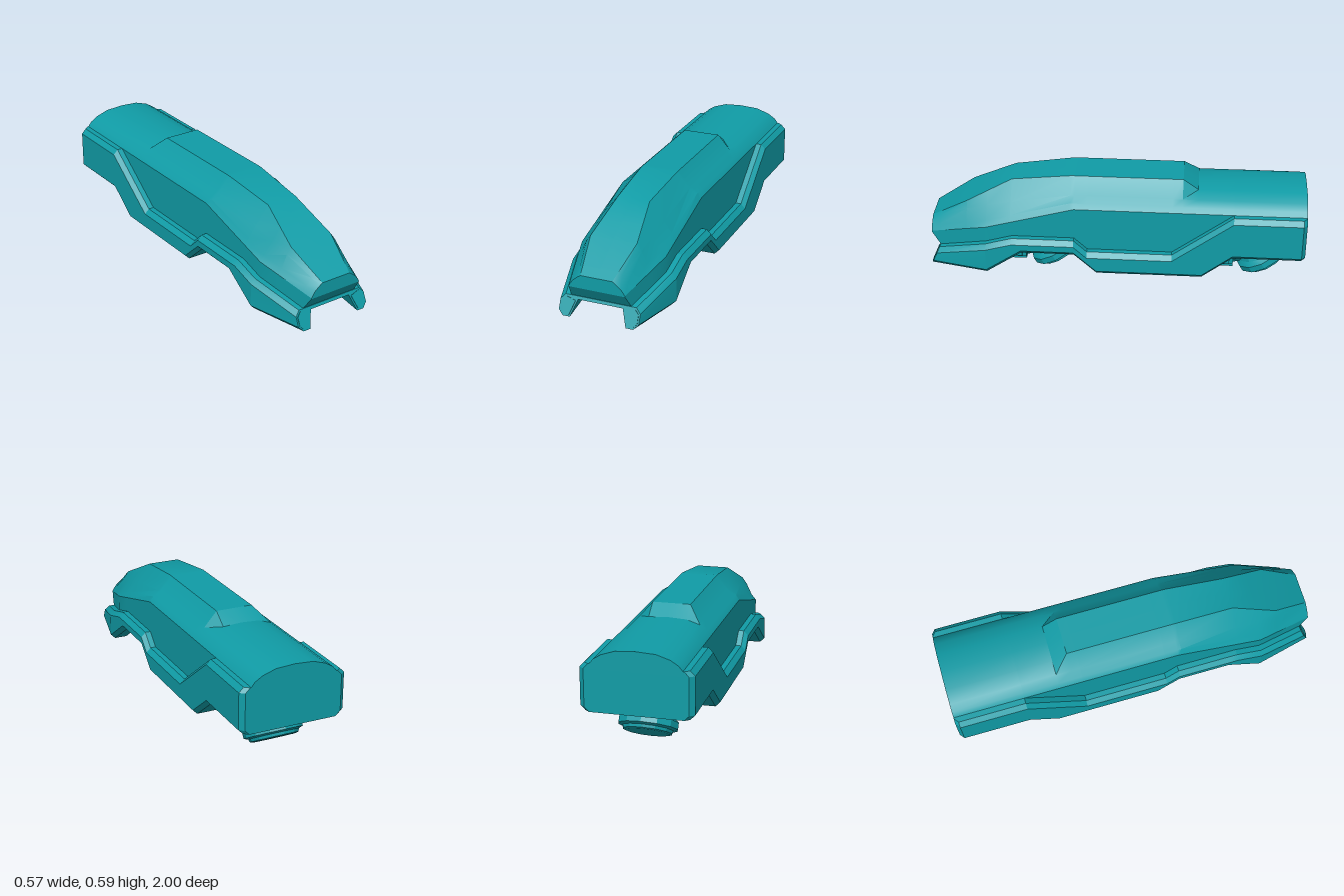
import * as THREE from 'three';
import { toCreasedNormals } from 'three/addons/utils/BufferGeometryUtils.js';

const teal = new THREE.MeshStandardMaterial({ color: 0x109ca6 });
teal.name = 'teal paint';

// piecewise linear lookup; keys run from front (+z) to back (-z)
function at(table, z) {
  if (z >= table[0][0]) return table[0][1];
  for (let i = 1; i < table.length; i++) {
    const [z0, a] = table[i - 1], [z1, b] = table[i];
    if (z >= z1) return a + (b - a) * (z0 - z) / (z0 - z1);
  }
  return table[table.length - 1][1];
}

// closed loft through mirrored half sections, [x, y, z] from top centre to bottom centre
function loft(halves, crease) {
  const rings = halves.map(h => [...h, ...h.slice().reverse().map(([x, y, z]) => [-x, y, z])]);
  const n = rings[0].length, pos = rings.flat(2), idx = [];
  for (let i = 0; i < rings.length - 1; i++) {
    for (let j = 0; j < n; j++) {
      const a = i * n + j, b = i * n + (j + 1) % n;
      idx.push(a, b, a + n, b, b + n, a + n);
    }
  }
  for (const [r, sign] of [[0, 1], [rings.length - 1, -1]]) {
    const p = rings[r].map(([x, y]) => new THREE.Vector2(x, y));
    for (const [a, b, c] of THREE.ShapeUtils.triangulateShape(p, [])) {
      const area = THREE.ShapeUtils.area([p[a], p[b], p[c]]) * sign;
      idx.push(r * n + a, r * n + (area > 0 ? b : c), r * n + (area > 0 ? c : b));
    }
  }
  const g = new THREE.BufferGeometry();
  g.setAttribute('position', new THREE.Float32BufferAttribute(pos, 3));
  g.setIndex(idx);
  return toCreasedNormals(g, crease);
}

function add(parent, name, geometry, x = 0, y = 0, z = 0) {
  const m = new THREE.Mesh(geometry, teal);
  m.name = name;
  m.position.set(x, y, z);
  parent.add(m);
  return m;
}

// upper shell with raised canopy ridge and tapered nose
function hull() {
  const ridgeX = [[1, .085], [.8, .125], [.56, .087], [.24, .1]];
  const ridgeY = [[1, .315], [.8, .435], [.56, .555], [.24, .595], [-.35, .595], [-.43, .538]];
  const flankX = [[1, .1], [.8, .15], [.56, .165], [.24, .17]];
  const flankY = [[1, .305], [.8, .4], [.56, .46], [.24, .515]];
  const midX = [[1, .13], [.69, .205], [.24, .21]];
  const midY = [[1, .28], [.24, .49]];
  const sideX = [[1, .15], [.69, .23]];
  const sideY = [[1, .25], [.22, .465]];
  const lowY = [[1, .245], [.95, .17], [.55, .25], [.22, .25], [.15, .2], [-.3, .2], [-.62, .44]];
  const stations = [1, .95, .8, .69, .56, .24, .22, .15, -.3, -.35, -.43, -.62, -1];
  return loft(stations.map(z => {
    const top = at(ridgeY, z), low = at(lowY, z), x = at(sideX, z);
    return [
      [0, top + (z < -.4 ? .006 : 0), z], [at(ridgeX, z), top, z],
      [at(flankX, z), at(flankY, z), z], [at(midX, z), at(midY, z), z],
      [x, at(sideY, z), z], [x, low, z], [0, low, z],
    ];
  }), .4);
}

// stepped lower armour, ending in two prongs at the front
function chassis() {
  const topY = [[1, .175], [.955, .175], [.55, .29], [.22, .29], [.15, .225], [-.3, .225], [-.62, .465]];
  const botY = [[.69, .077], [.5, .205], [.22, .205], [.1, .095], [-.46, .095], [-.62, .22]];
  const bellyY = [[1, .16], [.5, .205]];
  const outX = [[1, .215], [.69, .285], [-.98, .285], [-1, .26]];
  const inX = [[1, .15], [.69, .19], [.5, .19]];
  const c = .025;
  const stations = [1, .69, .55, .5, .22, .15, .1, -.3, -.46, -.62, -.98, -1];
  return loft(stations.map(z => {
    const x = at(outX, z), xi = at(inX, z), t = at(topY, z), b = at(botY, z);
    const belly = z >= .5 ? at(bellyY, z) : b;
    const p = [[0, t], [x - c, t], [x, t - c], [x, b + c], [x - c, b], [xi, b], [xi - .03, belly], [0, belly]];
    // rake the front faces back towards the top
    return p.map(([px, py]) => [px, py, z === 1 ? 1 - .45 * (py - .077) : z]);
  }), .2);
}

// thin cover on the front face of a prong
function prongCover(side) {
  const pts = [[.132, .153], [.185, .167], [.207, .146], [.207, .103], [.187, .084], [.157, .084]];
  const s = new THREE.Shape(pts.map(([x, y]) => new THREE.Vector2(x * side, (y - .077) * 1.097)));
  return new THREE.ExtrudeGeometry(s, { depth: .003, bevelEnabled: false });
}

// hover unit: mounting block, forward nozzle and tilted disc
function hoverUnit(name, z) {
  const g = new THREE.Group();
  g.name = name;
  g.position.z = z;
  add(g, 'mountBlock', new THREE.BoxGeometry(.18, .14, .14), 0, .14, .57);
  add(g, 'mountBase', new THREE.BoxGeometry(.145, .025, .12), 0, .06, .56);
  for (const s of [-1, 1]) add(g, 'mountCheek', new THREE.BoxGeometry(.022, .12, .1), s * .1, .145, .57);
  const nozzle = [[0, -.2], [.04, -.2], [.063, -.1], [.063, .06], [.05, .08], [.04, .08], [.04, .1], [.025, .1], [.025, .11], [0, .11]];
  add(g, 'nozzle', toCreasedNormals(new THREE.LatheGeometry(nozzle.map(p => new THREE.Vector2(...p)), 10), .4),
    0, .105, .59).rotation.x = Math.PI / 2;
  const disc = [[0, -.05], [.11, -.05], [.125, -.045], [.13, -.03], [.152, -.022], [.152, .012],
    [.128, .03], [.12, .045], [.085, .05], [.07, .07], [.07, .11], [0, .11]];
  add(g, 'hoverDisc', toCreasedNormals(new THREE.LatheGeometry(disc.map(p => new THREE.Vector2(...p)), 12), .4),
    0, .108, .342).rotation.x = .543;
  return g;
}

export function createModel() {
  const model = new THREE.Group();
  model.name = 'hoverTrain';
  add(model, 'hull', hull());
  add(model, 'chassis', chassis());
  for (const [side, name] of [[1, 'leftProngCover'], [-1, 'rightProngCover']]) {
    add(model, name, prongCover(side), 0, .077, 1).rotation.x = -Math.atan(.45);
  }
  model.add(hoverUnit('frontHoverUnit', 0), hoverUnit('rearHoverUnit', -1.13));
  return model;
}
